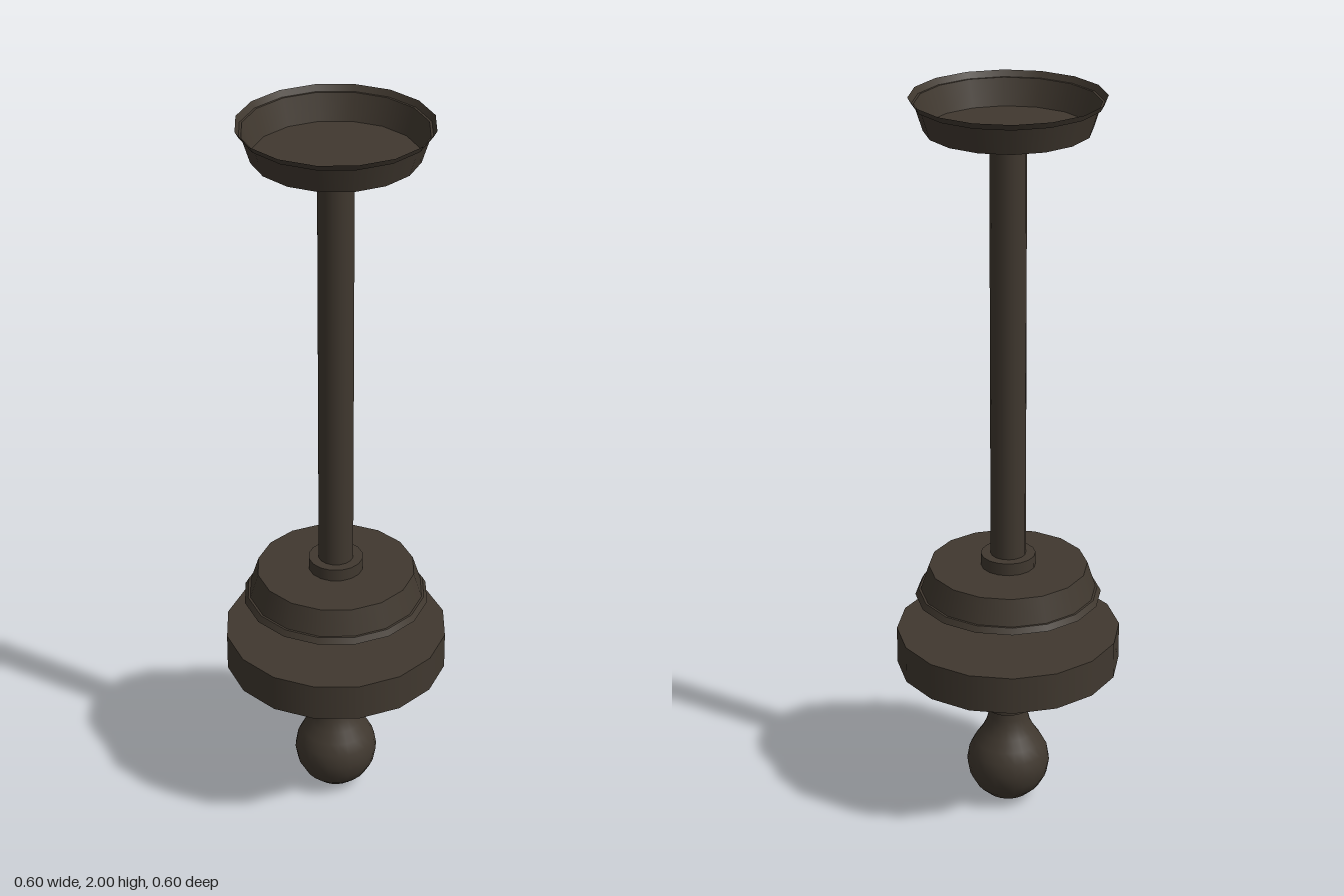
import * as THREE from 'three';
import { mergeGeometries } from 'three/addons/utils/BufferGeometryUtils.js';

const bronze = new THREE.MeshStandardMaterial({ color: 0x40382f, side: THREE.DoubleSide });
bronze.name = 'dark bronze';

// Turned part: each run of [radius, y] points is smooth, with a hard edge between runs.
function turned(name, runs, sides = 16) {
  const parts = runs.map((run) =>
    new THREE.LatheGeometry(run.map(([r, y]) => new THREE.Vector2(r, y)), sides));
  const mesh = new THREE.Mesh(mergeGeometries(parts), bronze);
  mesh.name = name;
  return mesh;
}

// Closed drum with flat ends.
function drum(name, r, y0, y1, sides = 16) {
  return turned(name, [[[0, y0], [r, y0]], [[r, y0], [r, y1]], [[r, y1], [0, y1]]], sides);
}

// Open dish with a stepped lip and a collar where the rod enters; the rim is at y = 0.
function canopy(name) {
  const group = new THREE.Group();
  group.name = name;
  group.add(
    turned('canopyDish', [
      [[0, -0.085], [0.212, -0.085]],
      [[0.212, -0.085], [0.234, -0.016]],
      [[0.234, -0.016], [0.24, -0.016]],
      [[0.24, -0.016], [0.249, 0]],
    ]),
    drum('canopyCollar', 0.073, -0.119, -0.085),
  );
  return group;
}

export function createModel() {
  const model = new THREE.Group();
  model.name = 'pendantLamp';

  // Ceiling canopy and its upside-down twin at the foot of the rod
  const top = canopy('upperCanopy');
  top.position.y = 2;
  const bottom = canopy('lowerCanopy');
  bottom.rotation.x = Math.PI;
  bottom.position.y = 0.631;
  model.add(top, bottom);

  model.add(drum('rod', 0.047, 0.74, 1.89));

  // Lamp holder: straight band with a shallow bowl below
  model.add(turned('lampHolder', [
    [[0, 0.355], [0.14, 0.355]],
    [[0.14, 0.355], [0.2, 0.376], [0.245, 0.4], [0.272, 0.427]],
    [[0.272, 0.427], [0.3, 0.427]],
    [[0.3, 0.427], [0.3, 0.53]],
    [[0.3, 0.53], [0, 0.53]],
  ]));

  // Stepped socket
  model.add(drum('socket', 0.085, 0.31, 0.357), drum('socketRing', 0.063, 0.286, 0.312));

  // Bulb
  const profile = [
    [0, 0.004], [0.03, 0.008], [0.06, 0.023], [0.087, 0.048], [0.106, 0.082], [0.113, 0.12],
    [0.107, 0.155], [0.092, 0.184], [0.073, 0.212], [0.06, 0.238], [0.054, 0.262], [0.052, 0.29],
  ];
  model.add(turned('bulb', [profile], 24));

  return model;
}
